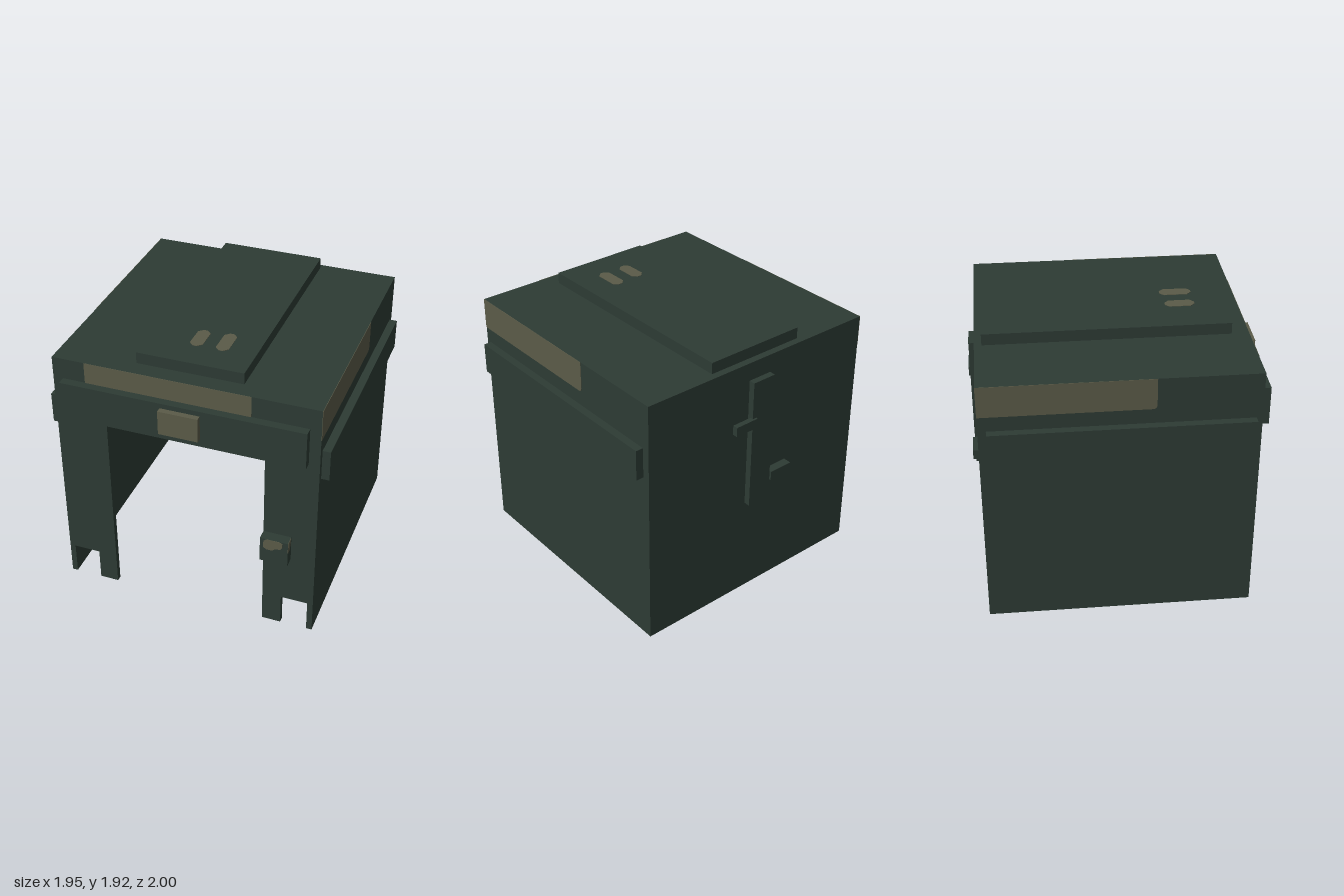
import * as THREE from 'three';

export function createModel() {
  const root = new THREE.Group();
  const green = new THREE.MeshStandardMaterial({ color: 0x2d3b34 });
  green.name = 'darkGreen';
  const tan = new THREE.MeshStandardMaterial({ color: 0x5b5b48 });
  tan.name = 'tan';

  const add = (name, geometry, material) => {
    const mesh = new THREE.Mesh(geometry, material);
    mesh.name = name;
    root.add(mesh);
    return mesh;
  };
  // Box given by its limits on each axis
  const box = (name, x0, x1, y0, y1, z0, z1, material = green) =>
    add(name, new THREE.BoxGeometry(x1 - x0, y1 - y0, z1 - z0), material)
      .position.set((x0 + x1) / 2, (y0 + y1) / 2, (z0 + z1) / 2);
  const extrude = (shape, depth) =>
    new THREE.ExtrudeGeometry(shape, { depth, bevelEnabled: false, curveSegments: 5 });
  const polygon = (pts) => new THREE.Shape(pts.map(([x, y]) => new THREE.Vector2(x, y)));

  const W = 0.92, H = 1.84, F = 0.9, B = -0.94, T = 0.04, thin = 0.003;

  // Shell: open below and at the front
  box('roof', -W, W, H - T, H, B, F);
  box('backWall', -W, W, 0, H - T, B, B + T);
  for (const s of [-1, 1]) {
    const side = s < 0 ? 'right' : 'left';
    box(side + 'Wall', s < 0 ? -W : W - T, s < 0 ? -W + T : W, 0, H - T, B + T, F);
    box(side + 'Rail', s < 0 ? -0.975 : W, s < 0 ? -W : 0.975, 1.295, 1.515, -0.885, 0.86);
  }

  // Front panel with the doorway and the notched feet
  const half = [[W - T, H - T], [W - T, 0.235], [0.69, 0.235], [0.69, 0], [0.555, 0], [0.555, 1.385]];
  const front = polygon([...half, ...half.map(([x, y]) => [-x, y]).reverse()]);
  add('frontPanel', extrude(front, T), green).position.z = F - T;

  // Brow across the front with its central lamp
  box('frontBrow', -0.85, 0.845, 1.42, 1.69, F, 0.96);
  box('frontLamp', -0.14, 0.135, 1.48, 1.655, 0.96, 1, tan);

  // Roof hatch with two rounded marks
  box('roofHatch', -0.37, 0.37, H, 1.92, -0.89, 0.78);
  const mark = (name, x0, x1, z0, z1) => {
    const w = (x1 - x0) / 2, h = (z1 - z0) / 2, c = 0.03;
    const shape = polygon([[-w + c, -h], [w - c, -h], [w, -h + c], [w, h - c],
      [w - c, h], [-w + c, h], [-w, h - c], [-w, -h + c]]);
    const mesh = add(name, extrude(shape, thin), tan);
    mesh.rotation.x = -Math.PI / 2;
    mesh.position.set((x0 + x1) / 2, 1.92, (z0 + z1) / 2);
  };
  mark('roofMarkA', -0.09, 0.0, 0.37, 0.575);
  mark('roofMarkB', 0.09, 0.18, 0.355, 0.575);

  // Painted bands: the front one, and one on each side with a rounded corner
  box('frontBand', -0.69, 0.46, 1.62, H, F, F + thin, tan);
  const band = new THREE.Shape();
  band.moveTo(0, 0);
  band.lineTo(1.12, 0);
  band.quadraticCurveTo(1.15, 0, 1.15, 0.03);
  band.lineTo(1.15, 0.22);
  band.lineTo(0, 0.22);
  const leftBand = add('leftBand', extrude(band, thin), tan);
  leftBand.rotation.y = Math.PI / 2;
  leftBand.position.set(W, 1.62, F);
  const rightBand = add('rightBand', extrude(band, thin), tan);
  rightBand.rotation.y = -Math.PI / 2;
  rightBand.position.set(-W, 1.62, B);

  // Latch on the left post with a worn patch
  box('latch', 0.555, 0.75, 0.6, 0.79, F, 0.975);
  const patch = polygon([[0.58, 0.77], [0.58, 0.72], [0.6, 0.705], [0.64, 0.705],
    [0.66, 0.72], [0.7, 0.73], [0.712, 0.75], [0.712, 0.78], [0.69, 0.79], [0.6, 0.79]]);
  add('latchPatch', extrude(patch, thin), tan).position.z = 0.975;
  const sidePatch = polygon([[0, 0.71], [0.03, 0.71], [0.05, 0.74], [0.065, 0.79], [0, 0.79]]);
  const latchSide = add('latchSidePatch', extrude(sidePatch, thin), tan);
  latchSide.rotation.y = Math.PI / 2;
  latchSide.position.set(0.75, 0, 0.975);

  // Post and two pegs on the back
  box('backPost', -0.09, 0.09, 0.74, 1.71, -0.985, B);
  box('upperPeg', 0.06, 0.24, 1.37, 1.44, -1, -0.962);
  box('lowerPeg', -0.27, -0.09, 0.88, 0.95, -1, B);

  return root;
}
